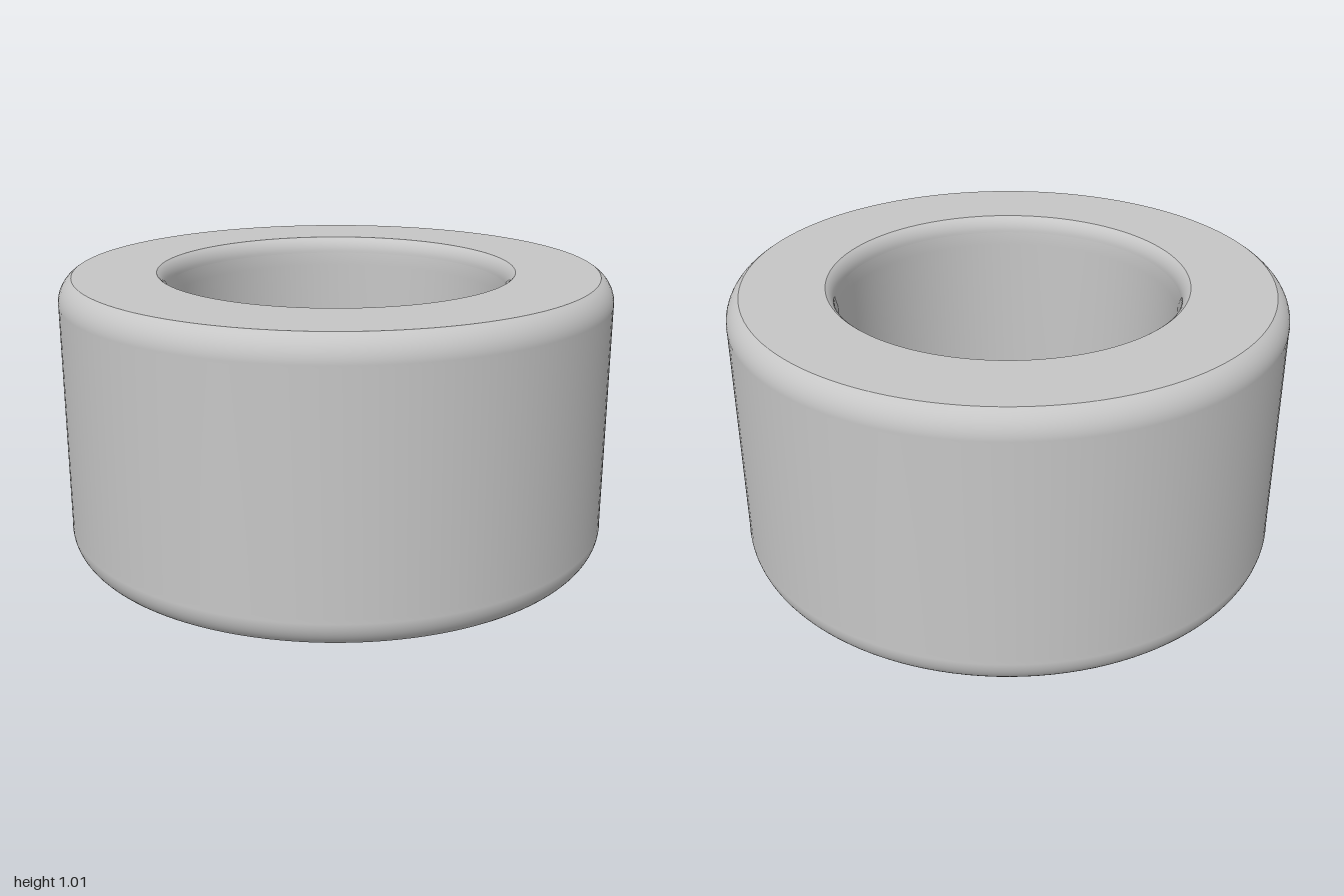
import * as THREE from 'three';

const SEGMENTS = 128;
const HEIGHT = 1.01;

// Points on a quarter-ellipse-like arc about (cx, cy), between two angles in degrees
function arc(cx, cy, rx, ry, from, to, steps = 8) {
  return Array.from({ length: steps + 1 }, (_, i) => {
    const a = THREE.MathUtils.degToRad(from + ((to - from) * i) / steps);
    return [cx + rx * Math.cos(a), cy + ry * Math.sin(a)];
  });
}

export function createModel() {
  const group = new THREE.Group();
  group.name = 'roundCup';
  const grey = new THREE.MeshStandardMaterial({ color: 0xc6c6c6 });
  grey.name = 'light grey';

  // Each part is its own smooth surface, so the joints between parts stay sharp
  function addPart(name, profile) {
    const points = profile.map(([r, y]) => new THREE.Vector2(Math.max(r, 0), y));
    const mesh = new THREE.Mesh(new THREE.LatheGeometry(points, SEGMENTS), grey);
    mesh.name = name;
    group.add(mesh);
  }

  // Underside: shallow recessed disc, its sloping edge, and the standing ring
  addPart('recessedBase', [[0, 0.02], [0.625, 0.02]]);
  addPart('recessEdge', [[0.625, 0.02], [0.65, 0]]);
  addPart('standingRing', [[0.65, 0], [0.96, 0]]);

  // Outer wall with rounded shoulders that stop short of the flat faces
  addPart('outerWall', [
    ...arc(0.9, 0.085, 0.1, 0.106, -53, 0),
    [0.999, 0.1], [0.999, 0.91],
    ...arc(0.9, 0.92, 0.1, 0.104, 0, 60),
  ]);

  // Flat top of the rim
  addPart('rimTop', [[0.95, HEIGHT], [0.65, HEIGHT]]);

  // Rounded inner lip
  addPart('innerLip', arc(0.68, 0.95, 0.06, 0.0693, 120, 180));

  // Straight inner wall, filleted into the floor
  addPart('cavity', [
    [0.62, 0.95], [0.615, 0.9], [0.615, 0.32],
    ...arc(0.455, 0.31, 0.16, 0.16, 0, -90, 14),
    [0.44, 0.15], [0, 0.15],
  ]);

  return group;
}
